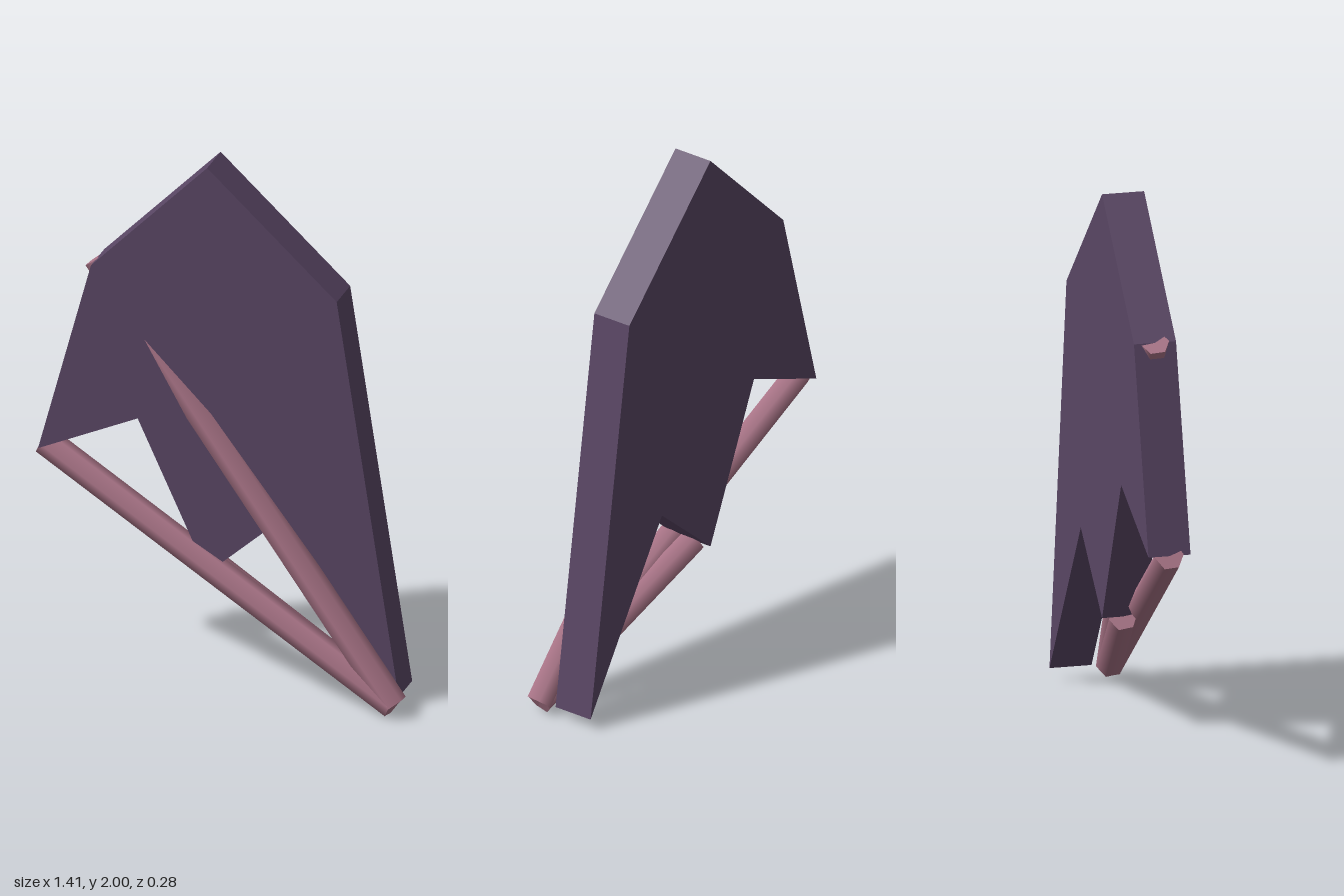
import * as THREE from 'three';

const slateMaterial = new THREE.MeshStandardMaterial({ color: 0x594664 });
slateMaterial.name = 'dark purple';
const rodMaterial = new THREE.MeshStandardMaterial({ color: 0xa97487 });
rodMaterial.name = 'dusty pink';

const BACK = -0.14, FRONT = 0.015;
const MID = (BACK + FRONT) / 2;

// Corners of the plate, counter-clockwise from the top
const peak = [-0.05, 2.0];
const leftTip = [0.667, 0.045];
const rightShoulder = [-0.485, 1.565];
const rightTip = [-0.683, 0.83];
const middleTip = [-0.05, 0.43];
const outline = [
  peak, rightShoulder, rightTip, [-0.31, 0.995],
  middleTip, [0.24, 0.685], leftTip, [0.435, 1.545],
];

// Six-sided rod between two points
function makeRod(name, from, to) {
  const axis = to.clone().sub(from);
  const rod = new THREE.Mesh(
    new THREE.CylinderGeometry(0.052, 0.052, axis.length(), 6),
    rodMaterial
  );
  rod.name = name;
  rod.position.copy(from).lerp(to, 0.5);
  rod.quaternion.setFromUnitVectors(new THREE.Vector3(0, 1, 0), axis.normalize());
  return rod;
}

export function createModel() {
  const model = new THREE.Group();
  model.name = 'notchedPlateWithRods';

  // Plate with a jagged lower edge
  const shape = new THREE.Shape(outline.map(([x, y]) => new THREE.Vector2(x, y)));
  const plate = new THREE.Mesh(
    new THREE.ExtrudeGeometry(shape, { depth: FRONT - BACK, bevelEnabled: false }),
    slateMaterial
  );
  plate.name = 'plate';
  plate.position.z = BACK;
  model.add(plate);

  // Rods fanning out from the lowest tip to three corners of the plate
  const hub = new THREE.Vector3(leftTip[0] + 0.004, leftTip[1], 0.085);
  const ends = { lowerRod: rightTip, upperRod: rightShoulder, shortRod: middleTip };
  for (const [name, [x, y]] of Object.entries(ends)) {
    model.add(makeRod(name, hub, new THREE.Vector3(x, y, MID)));
  }
  return model;
}
